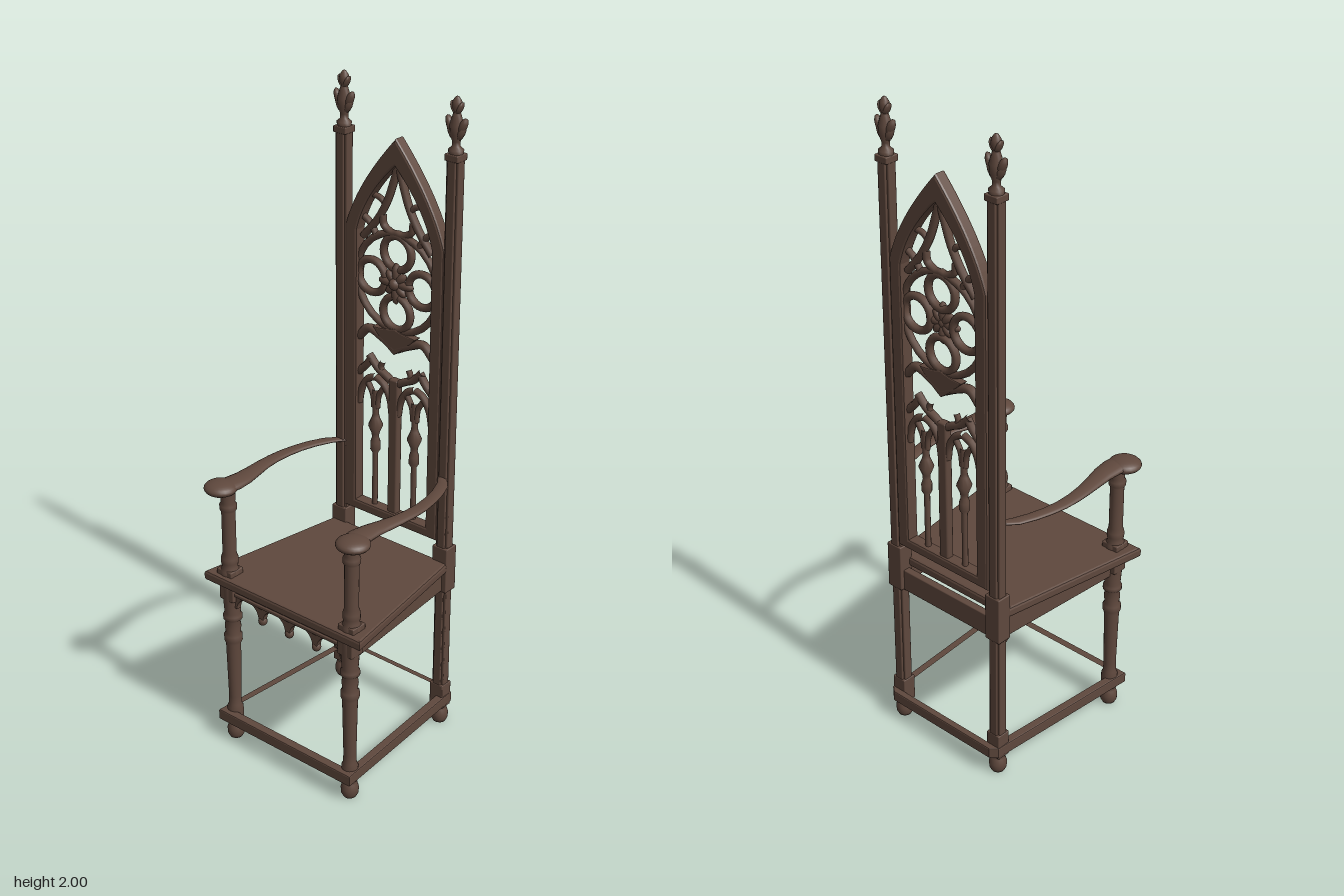
import * as THREE from 'three';
import { RoundedBoxGeometry } from 'three/addons/geometries/RoundedBoxGeometry.js';

const wood = new THREE.MeshStandardMaterial({ color: 0x5f483d });
wood.name = 'dark brown wood';

const V2 = (p) => new THREE.Vector2(p[0], p[1]);

function add(parent, name, geo, x = 0, y = 0, z = 0) {
  const m = new THREE.Mesh(geo, wood);
  m.name = name;
  m.position.set(x, y, z);
  parent.add(m);
  return m;
}
const box = (w, h, d, r = 0.003) => new RoundedBoxGeometry(w, h, d, 1, r);
const lathe = (pts, seg = 20) => new THREE.LatheGeometry(pts.map(V2), seg);
function extrude(shape, depth, bevel = 0) {
  return new THREE.ExtrudeGeometry(shape, {
    depth: depth - 2 * bevel, bevelEnabled: bevel > 0, bevelSize: bevel, bevelThickness: bevel,
    bevelOffset: -bevel, bevelSegments: 2, curveSegments: 14,
  }).translate(0, 0, bevel);
}
// Plan outline (x, z) extruded upward from y
function slab(parent, name, shape, y, height, bevel) {
  const m = add(parent, name, extrude(shape, height, bevel), 0, y + height, 0);
  m.rotation.x = Math.PI / 2;
  return m;
}
// Rail between two plan points
function rail(parent, name, a, b, y, h, d) {
  const dx = b[0] - a[0], dz = b[1] - a[1];
  const m = add(parent, name, box(Math.hypot(dx, dz), h, d), (a[0] + b[0]) / 2, y, (a[1] + b[1]) / 2);
  m.rotation.y = -Math.atan2(dz, dx);
  return m;
}
// Pointed arch panel outline
function archShape(w, y0, spring, apex, cx, cy, S) {
  const s = new S();
  s.moveTo(-w, y0);
  s.lineTo(w, y0);
  s.lineTo(w, spring);
  s.quadraticCurveTo(cx, cy, 0, apex);
  s.quadraticCurveTo(-cx, cy, -w, spring);
  s.lineTo(-w, y0);
  return s;
}

const FOOT = [[0, 0], [0.02, 0], [0.026, 0.012], [0.027, 0.03], [0.022, 0.047], [0.018, 0.054], [0.025, 0.06]];
const LEG = [...FOOT, [0.025, 0.11], [0.02, 0.12], [0.019, 0.15], [0.023, 0.34], [0.028, 0.352], [0.028, 0.37],
  [0.022, 0.377], [0.025, 0.4], [0.022, 0.42], [0.029, 0.428], [0.029, 0.44], [0.024, 0.448], [0.027, 0.49], [0.027, 0.55]];
const ARM_POST = [[0.03, 0.575], [0.03, 0.595], [0.023, 0.605], [0.026, 0.62], [0.026, 0.635], [0.021, 0.65],
  [0.021, 0.79], [0.026, 0.798], [0.026, 0.812], [0.021, 0.82], [0.024, 0.86]];
const FINIAL = [[0.021, 1.84], [0.023, 1.853], [0.012, 1.862], [0.012, 1.875], [0.019, 1.895], [0.021, 1.92],
  [0.012, 1.95], [0.01, 1.956], [0.016, 1.97], [0.014, 1.985], [0.006, 1.997], [0, 2]];

// Arm lofted from ellipses: z, centre x, half width, bottom, top
const ARM = [[-0.245, 0.185, 0.016, 0.855, 0.866], [-0.2, 0.22, 0.02, 0.855, 0.866], [-0.15, 0.24, 0.02, 0.855, 0.868],
  [-0.1, 0.253, 0.02, 0.855, 0.869], [-0.05, 0.26, 0.021, 0.855, 0.87], [0, 0.261, 0.022, 0.855, 0.872],
  [0.05, 0.257, 0.024, 0.855, 0.874], [0.1, 0.249, 0.028, 0.854, 0.876], [0.15, 0.241, 0.033, 0.854, 0.879],
  [0.2, 0.24, 0.038, 0.854, 0.882], [0.25, 0.246, 0.038, 0.854, 0.882]];
function armGeometry(side) {
  const N = 14, pos = [], idx = [];
  for (const [z, x, w, y0, y1] of ARM) {
    for (let i = 0; i < N; i++) {
      const a = (i / N) * Math.PI * 2;
      pos.push(side * (x + w * Math.cos(a)), (y0 + y1) / 2 + ((y1 - y0) / 2) * Math.sin(a), z);
    }
  }
  for (let j = 0; j < ARM.length - 1; j++) {
    for (let i = 0; i < N; i++) {
      const a = j * N + i, b = j * N + ((i + 1) % N), c = a + N, d = b + N;
      if (side > 0) idx.push(a, b, c, b, d, c);
      else idx.push(a, c, b, b, c, d);
    }
  }
  const g = new THREE.BufferGeometry();
  g.setAttribute('position', new THREE.Float32BufferAttribute(pos, 3));
  g.setIndex(idx);
  g.computeVertexNormals();
  return g;
}

export function createModel() {
  const chair = new THREE.Group();
  chair.name = 'gothicArmchair';

  // Seat board
  slab(chair, 'seat', new THREE.Shape([[-0.3, 0.267], [0.3, 0.267], [0.222, -0.235], [-0.222, -0.235]].map(V2)), 0.55, 0.032, 0.008);

  // Stretcher ring around the legs, with clipped rear corners
  const ring = new THREE.Shape([[-0.262, 0.265], [0.262, 0.265], [0.222, -0.272], [0.2, -0.29], [-0.2, -0.29], [-0.222, -0.272]].map(V2));
  ring.holes.push(new THREE.Path([[-0.24, 0.243], [0.24, 0.243], [0.2, -0.274], [-0.2, -0.274]].map(V2)));
  slab(chair, 'stretchers', ring, 0.065, 0.036, 0.004);

  // Side and back aprons
  for (const s of [-1, 1]) {
    rail(chair, 'sideApron', [s * 0.23, 0.225], [s * 0.195, -0.245], 0.513, 0.066, 0.024).rotateZ(s * 0.017);
  }
  rail(chair, 'backApron', [-0.195, -0.247], [0.195, -0.247], 0.512, 0.07, 0.024);

  // Front apron with four scallops and three pendants
  const apron = new THREE.Shape();
  apron.moveTo(0.215, 0.552);
  apron.lineTo(-0.215, 0.552);
  apron.lineTo(-0.215, 0.472);
  for (let i = 0; i < 4; i++) {
    const c = -0.1575 + i * 0.105;
    apron.lineTo(c - 0.043, 0.472);
    apron.absarc(c, 0.472, 0.043, Math.PI, 0, true);
    apron.lineTo(c + 0.0525, 0.472);
  }
  apron.lineTo(0.215, 0.552);
  add(chair, 'frontApron', extrude(apron, 0.02, 0.003), 0, 0, 0.217);
  add(chair, 'apronMoulding', box(0.43, 0.012, 0.008), 0, 0.522, 0.239);
  for (const x of [-0.105, 0, 0.105]) {
    const p = add(chair, 'apronPendant', new THREE.SphereGeometry(0.014, 12, 8), x, 0.468, 0.227);
    p.scale.y = 1.15;
  }

  // Parts mirrored left and right
  for (const s of [-1, 1]) {
    add(chair, 'frontLeg', lathe(LEG), s * 0.23, 0, 0.225);
    add(chair, 'frontLegBlock', box(0.054, 0.055, 0.05), s * 0.23, 0.524, 0.225);

    add(chair, 'armPost', lathe(ARM_POST), s * 0.235, 0, 0.225);
    add(chair, 'armPostBase', box(0.058, 0.02, 0.054), s * 0.235, 0.589, 0.225);
    add(chair, 'arm', armGeometry(s));
    const knob = add(chair, 'armKnob', new THREE.SphereGeometry(1, 24, 14), s * 0.25, 0.866, 0.238);
    knob.scale.set(0.05, 0.021, 0.049);

    // Rear post with grooved corners
    const post = new THREE.Group();
    post.name = 'rearPost';
    post.position.set(s * 0.197, 0, -0.248);
    chair.add(post);
    add(post, 'rearFoot', lathe(FOOT));
    add(post, 'lowerBlock', box(0.048, 0.085, 0.045), 0, 0.1, 0);
    add(post, 'seatBlock', box(0.054, 0.15, 0.048), 0, 0.555, 0);
    add(post, 'shaftWide', box(0.043, 1.77, 0.028), 0, 0.945, 0);
    add(post, 'shaftDeep', box(0.028, 1.77, 0.042), 0, 0.945, 0);
    add(post, 'shaftCap', box(0.046, 0.02, 0.045), 0, 1.832, 0);

    // Leafy finial
    add(post, 'finialCore', lathe(FINIAL, 12)).scale.z = 0.9;
    for (const t of [-1, 1]) {
      for (const [y, x, l, w] of [[1.918, 0.02, 0.028, 0.012], [1.9, 0.015, 0.026, 0.011], [1.967, 0.01, 0.02, 0.007]]) {
        const leaf = add(post, 'finialLeaf', new THREE.SphereGeometry(1, 10, 6), t * x, y, 0);
        leaf.scale.set(w, l, 0.013);
        leaf.rotation.z = -t * 0.45;
      }
    }
  }

  // Pointed back frame
  const back = new THREE.Group();
  back.name = 'backPanel';
  back.position.z = -0.25;
  chair.add(back);
  const frame = archShape(0.178, 0.642, 1.56, 1.845, 0.14, 1.69, THREE.Shape);
  frame.holes.push(archShape(0.135, 0.675, 1.55, 1.765, 0.108, 1.66, THREE.Path));
  add(back, 'backFrame', extrude(frame, 0.04, 0.007), 0, 0, -0.02);

  // Tracery bars follow smooth paths, optionally mirrored
  const bar = (name, pts, r, mirror = true) => {
    for (const s of mirror ? [-1, 1] : [1]) {
      const path = new THREE.CatmullRomCurve3(pts.map(([x, y]) => new THREE.Vector3(s * x, y, 0)));
      add(back, name, new THREE.TubeGeometry(path, 16, r, 8, false));
    }
  };
  const loop = (name, x, y, r, t) => add(back, name, new THREE.TorusGeometry(r, t, 8, 28), x, y, 0);

  // Lower lights: mullions with turned swellings and pointed heads
  add(back, 'centreMullion', box(0.034, 0.45, 0.026, 0.006), 0, 0.89, 0);
  for (const s of [-1, 1]) {
    add(back, 'sideMullion', lathe([[0.009, 0.67], [0.009, 0.85], [0.016, 0.862], [0.016, 0.885], [0.011, 0.9],
      [0.012, 0.915], [0.023, 0.942], [0.012, 0.968], [0.01, 0.98], [0.011, 1.06]], 10), s * 0.074, 0, 0);
  }
  bar('lancetOuter', [[0.137, 1.0], [0.128, 1.045], [0.105, 1.085], [0.074, 1.1]], 0.011);
  bar('lancetInner', [[0.012, 1.0], [0.02, 1.045], [0.044, 1.085], [0.074, 1.1]], 0.011);
  bar('lancetOuterHead', [[0.08, 1.0], [0.085, 1.04], [0.105, 1.075]], 0.009);
  bar('lancetInnerHead', [[0.068, 1.0], [0.063, 1.04], [0.044, 1.075]], 0.009);
  bar('ogeeOuter', [[0.14, 1.1], [0.11, 1.13], [0.09, 1.16]], 0.012);
  bar('ogeeInner', [[0, 1.095], [0.035, 1.115], [0.065, 1.13], [0.1, 1.165]], 0.012);
  bar('ogeeCusp', [[0.05, 1.12], [0.055, 1.14], [0.048, 1.158]], 0.009);
  bar('flare', [[0, 1.21], [0.05, 1.235], [0.1, 1.25], [0.14, 1.215]], 0.014);

  // Solid boss under the rosette
  const boss = new THREE.Shape();
  boss.moveTo(0, 1.195);
  boss.quadraticCurveTo(0.035, 1.215, 0.08, 1.265);
  boss.quadraticCurveTo(0.04, 1.265, 0, 1.278);
  boss.quadraticCurveTo(-0.04, 1.265, -0.08, 1.265);
  boss.quadraticCurveTo(-0.035, 1.215, 0, 1.195);
  add(back, 'rosetteBoss', extrude(boss, 0.026, 0.004), 0, 0, -0.013);

  // Rosette: outer ring, four foils and a central flower
  loop('rosetteRing', 0, 1.415, 0.148, 0.011);
  for (let i = 0; i < 4; i++) {
    const a = (i * Math.PI) / 2;
    loop('rosetteFoil', 0.092 * Math.cos(a), 1.415 + 0.092 * Math.sin(a), 0.05, 0.012);
  }
  for (let i = 0; i < 8; i++) {
    const a = (i * Math.PI) / 4;
    const len = i % 2 ? 0.024 : 0.032;
    const petal = add(back, 'flowerPetal', new THREE.SphereGeometry(1, 10, 8), len * Math.cos(a), 1.415 + len * Math.sin(a), 0.004);
    petal.scale.set(len, 0.013, 0.013);
    petal.rotation.z = a;
  }
  add(back, 'flowerCentre', new THREE.SphereGeometry(0.018, 14, 10), 0, 1.415, 0.01);

  // Upper bars sweeping into the point
  bar('apexBar', [[0, 1.77], [0.018, 1.71], [0.04, 1.65], [0.075, 1.59], [0.125, 1.53]], 0.012);
  bar('apexBranch', [[0.045, 1.64], [0.06, 1.655], [0.1, 1.665]], 0.009);
  bar('apexFoot', [[0.055, 1.61], [0.05, 1.58], [0.02, 1.563], [0, 1.565]], 0.011);
  bar('sideWeb', [[0.14, 1.6], [0.1, 1.575], [0.075, 1.54]], 0.01);

  return chair;
}
